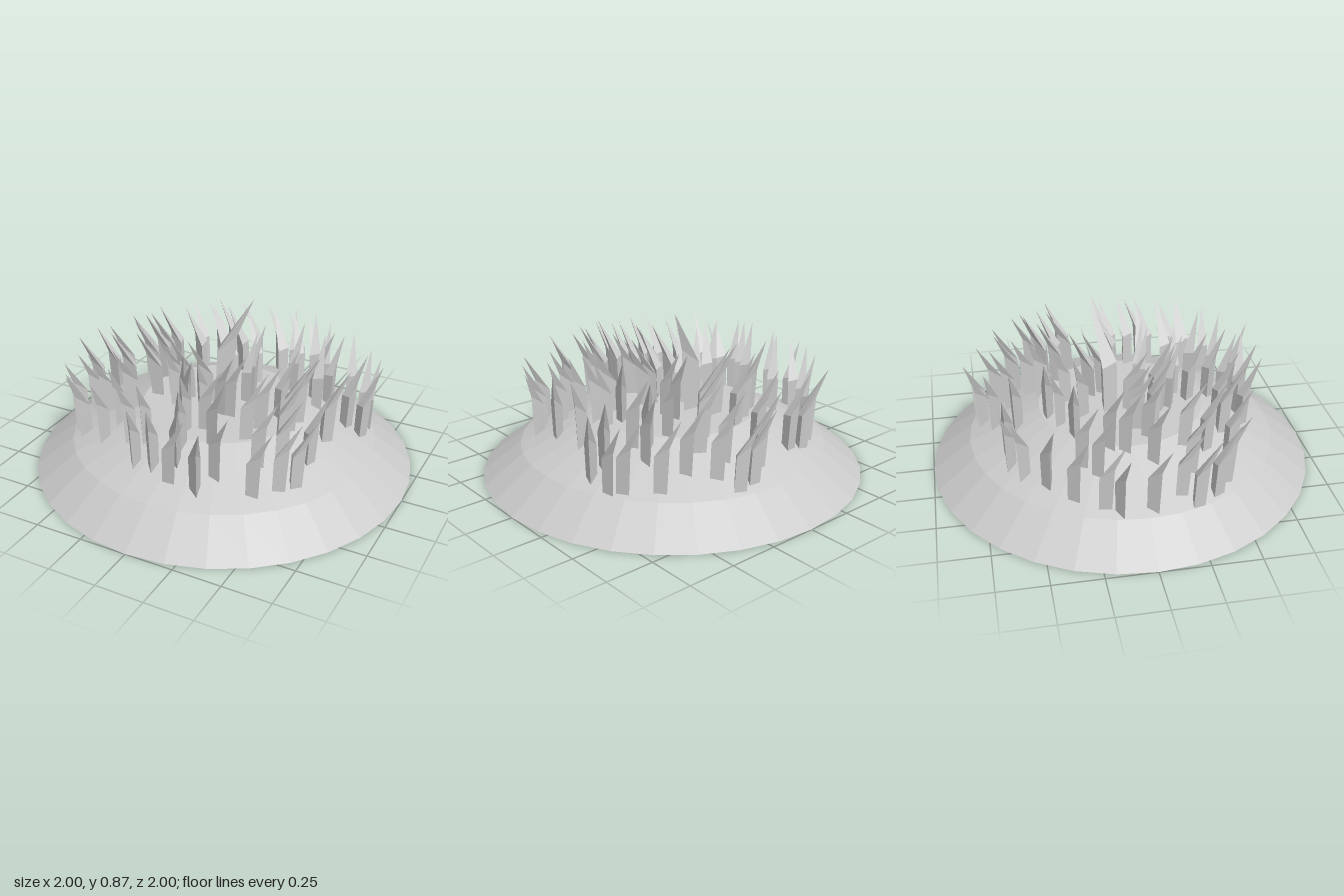
import * as THREE from 'three';

const RIM = [[1, 0], [0.8, 0.155], [0.43, 0.32], [0, 0.32]];

// Planting rows from back to front: z of the row, then the x of each blade
const ROWS = [
  [-0.72, [0.13, 0.22]],
  [-0.66, [0.04]],
  [-0.61, [-0.32, -0.23, 0.26]],
  [-0.55, [-0.41, -0.06, 0.16]],
  [-0.51, [0.36, 0.52]],
  [-0.45, [-0.51, 0.23]],
  [-0.39, [-0.07, 0.16, 0.64]],
  [-0.34, [-0.62, -0.16, 0.45, 0.68]],
  [-0.28, [-0.46, -0.27, 0.06, 0.27, 0.39]],
  [-0.21, [-0.7, -0.53, -0.09, -0.05, 0.44, 0.6, 0.68]],
  [-0.13, [-0.74, -0.4, 0.09]],
  [-0.06, [-0.43, 0.1]],
  [0.02, [-0.74, -0.26, -0.18, -0.07, 0.32, 0.41, 0.57]],
  [0.07, [-0.5, -0.34]],
  [0.11, [-0.23, 0.03, 0.08, 0.4]],
  [0.16, [-0.68, -0.14, -0.04, 0.27]],
  [0.23, [-0.74, -0.56, -0.41, -0.1, 0.42, 0.57]],
  [0.29, [0.03, 0.25]],
  [0.34, [-0.68, -0.43, -0.04, 0.46]],
  [0.4, [-0.6, 0.14, 0.37, 0.57]],
  [0.46, [-0.45, -0.29, -0.2, 0, 0.51]],
  [0.55, [0.02, 0.23, 0.42]],
  [0.6, [-0.18, -0.08]],
  [0.65, [0.03, 0.18]],
];

// Height of the mound at a distance from its centre
function groundHeight(r) {
  for (let i = 0; i < RIM.length - 1; i++) {
    const [r0, y0] = RIM[i], [r1, y1] = RIM[i + 1];
    if (r >= r1) return y0 + (y1 - y0) * (r0 - r) / (r0 - r1);
  }
  return RIM[3][1];
}

// Small seeded generator, 0 to 1
function seeded(seed) {
  return () => {
    seed = (seed * 16807) % 2147483647;
    return seed / 2147483647;
  };
}

// Three-sided blade: a nearly upright stem, then a spike bent towards +x
function bladeGeometry() {
  const section = [[0.005, 0.03], [0.065, -0.01], [-0.01, -0.027]];
  const pos = [];
  for (const [x, z] of section) pos.push(x * 0.85 - 0.008, -x * 0.25, z * 0.9);
  for (const [x, z] of section) pos.push(x, 0.19 + x * 0.8, z);
  pos.push(0.122, 0.385, -0.027);
  const index = [0, 2, 1];
  for (let i = 0; i < 3; i++) {
    const j = (i + 1) % 3;
    index.push(i, j, j + 3, i, j + 3, i + 3, i + 3, j + 3, 6);
  }
  const g = new THREE.BufferGeometry();
  g.setAttribute('position', new THREE.Float32BufferAttribute(pos, 3));
  g.setIndex(index);
  const flat = g.toNonIndexed();
  flat.computeVertexNormals();
  return flat;
}

export function createModel() {
  const model = new THREE.Group();
  model.name = 'grassMound';
  const material = new THREE.MeshStandardMaterial({ color: 0xcccccc, flatShading: true });
  const shell = material.clone();
  shell.side = THREE.DoubleSide;

  // Open-bottomed mound with a flat top
  const mound = new THREE.Mesh(
    new THREE.LatheGeometry(RIM.map(([r, y]) => new THREE.Vector2(r, y)), 32), shell);
  mound.name = 'mound';
  model.add(mound);

  // Grass blades rooted just under the surface
  const grass = new THREE.Group();
  grass.name = 'grass';
  const geometry = bladeGeometry();
  function addBlade(name, x, z, heading, scale) {
    const blade = new THREE.Mesh(geometry, material);
    blade.name = name;
    blade.position.set(x, groundHeight(Math.hypot(x, z)) - 0.02, z);
    blade.rotation.y = -heading;
    blade.scale.setScalar(scale);
    grass.add(blade);
  }

  // Tall centre blade
  addBlade('tallBlade', -0.07, -0.07, -0.17, 1.48);

  // Each blade leans outward with a swirl
  const random = seeded(77);
  for (const [z, xs] of ROWS) {
    for (const x of xs) {
      const heading = Math.atan2(z, x) - 0.6 + (random() - 0.5) * 0.9;
      addBlade('blade', x, z, heading, 0.96 + random() * 0.06);
    }
  }
  model.add(grass);
  return model;
}
